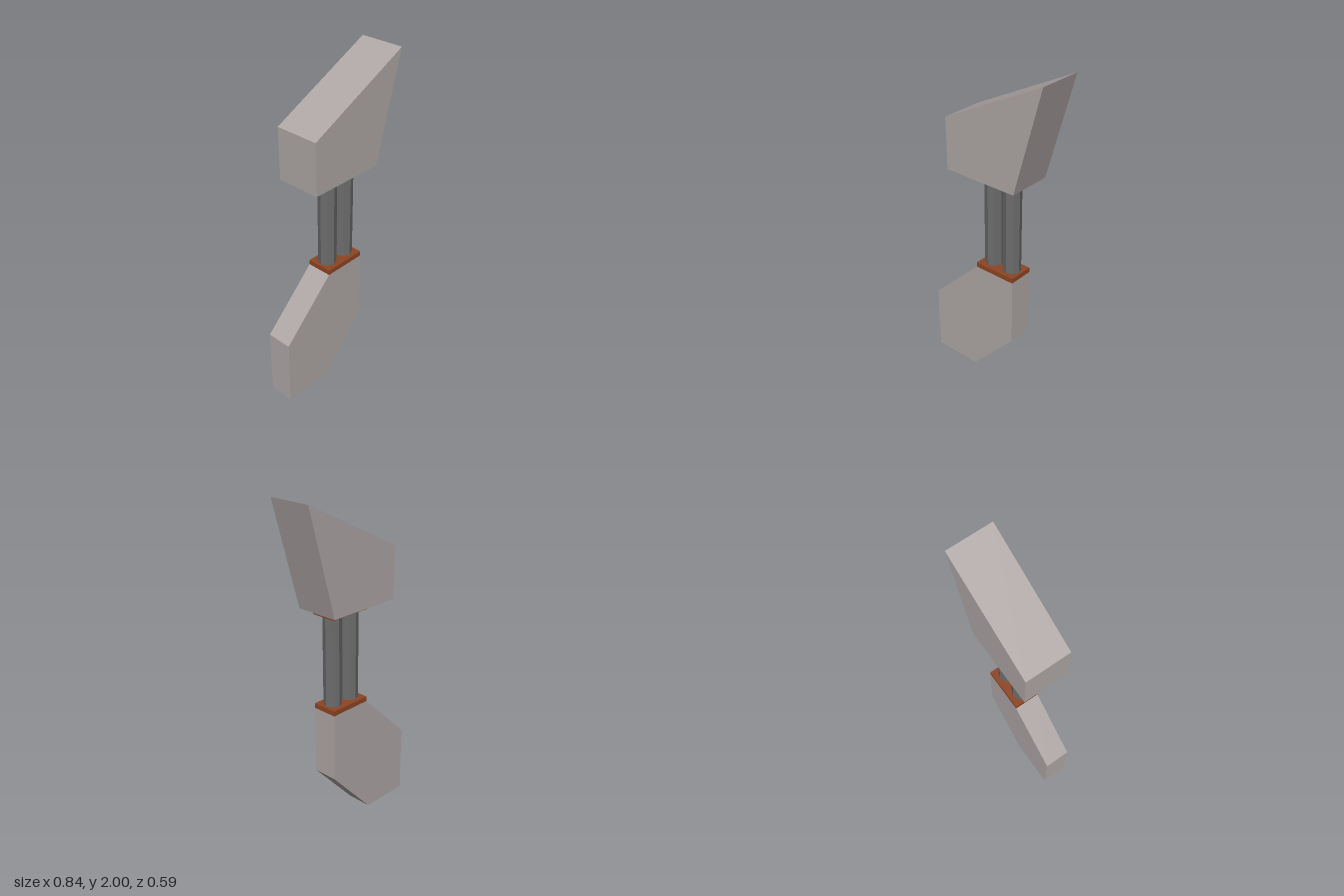
import * as THREE from 'three';

const stone = new THREE.MeshStandardMaterial({ color: 0xaea6a5 });
stone.name = 'warm grey';
const steel = new THREE.MeshStandardMaterial({ color: 0x6c6c6c });
steel.name = 'dark grey';
const rust = new THREE.MeshStandardMaterial({ color: 0x8e4524 });
rust.name = 'rust brown';

// Flat slab: a side profile extruded symmetrically through z
function slab(name, points, depth) {
  const shape = new THREE.Shape(points.map(([x, y]) => new THREE.Vector2(x, y)));
  const geometry = new THREE.ExtrudeGeometry(shape, { depth, bevelEnabled: false });
  geometry.translate(0, 0, -depth / 2);
  const mesh = new THREE.Mesh(geometry, stone);
  mesh.name = name;
  return mesh;
}

export function createModel() {
  const model = new THREE.Group();
  model.name = 'jointedLimb';

  // Everything is built along x, then turned about the vertical
  const limb = new THREE.Group();
  limb.name = 'limb';
  limb.rotation.y = 0.497;
  limb.position.set(0.007, 0, 0.013);
  model.add(limb);

  // Lower and upper blocks
  limb.add(slab('lowerBlock', [
    [-0.441, 0], [-0.132, 0], [0.168, 0.33], [0.168, 0.75], [-0.103, 0.75], [-0.441, 0.42],
  ], 0.157));
  limb.add(slab('upperBlock', [
    [-0.258, 1.363], [0.217, 1.363], [0.393, 2], [-0.261, 1.676],
  ], 0.273));

  // Mounting plates at both ends of the rods
  const middle = 0.0325;
  for (const [name, bottom, top] of [['lowerPlate', 0.75, 0.78], ['upperPlate', 1.33, 1.363]]) {
    const plate = new THREE.Mesh(new THREE.BoxGeometry(0.271, top - bottom, 0.157), rust);
    plate.position.set(middle, (bottom + top) / 2, 0);
    plate.name = name;
    limb.add(plate);
  }

  // Pair of eight-sided rods
  const rodMaterial = steel.clone();
  rodMaterial.flatShading = true;
  for (const side of [-1, 1]) {
    const rod = new THREE.Mesh(
      new THREE.CylinderGeometry(0.054, 0.054, 0.55, 8).toNonIndexed(), steel);
    rod.geometry.computeVertexNormals();
    rod.position.set(middle + side * 0.0675, 1.055, 0);
    rod.name = side < 0 ? 'rightRod' : 'leftRod';
    limb.add(rod);
  }

  return model;
}
